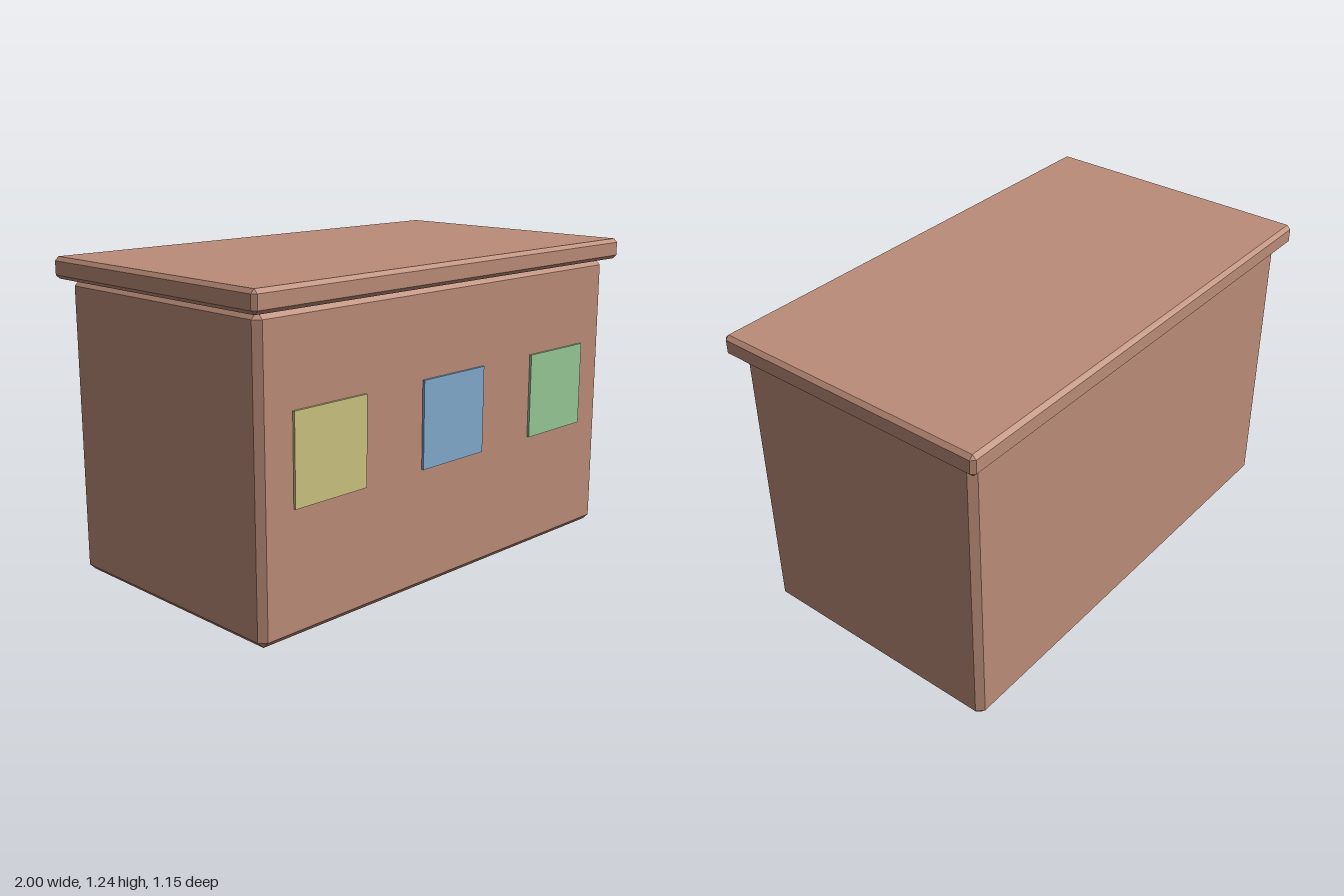
import * as THREE from 'three';
import { ConvexGeometry } from 'three/addons/geometries/ConvexGeometry.js';

// Box with flat chamfers on all edges: hull of the corners of its six inset faces
function chamferBox(w, h, d, c) {
  const points = [];
  for (const sx of [-1, 1]) for (const sy of [-1, 1]) for (const sz of [-1, 1]) {
    const x = w / 2, y = h / 2, z = d / 2;
    points.push(
      new THREE.Vector3(sx * x, sy * (y - c), sz * (z - c)),
      new THREE.Vector3(sx * (x - c), sy * y, sz * (z - c)),
      new THREE.Vector3(sx * (x - c), sy * (y - c), sz * z)
    );
  }
  return new ConvexGeometry(points);
}

function material(name, color) {
  const m = new THREE.MeshStandardMaterial({ color });
  m.name = name;
  return m;
}

export function createModel() {
  const model = new THREE.Group();
  model.name = 'chest';
  const clay = material('clay brown', 0xbc8c78);

  const add = (name, geometry, mat, x, y, z) => {
    const mesh = new THREE.Mesh(geometry, mat);
    mesh.name = name;
    mesh.position.set(x, y, z);
    model.add(mesh);
  };

  // Body and overhanging lid
  add('body', chamferBox(1.91, 1.152, 1.062, 0.025), clay, 0, 0.576, 0);
  add('lid', chamferBox(2, 0.083, 1.148, 0.015), clay, 0, 1.1935, 0);

  // Three coloured panels on the front
  const panels = [
    ['rightPanel', material('soft yellow', 0xcac27e), -0.637],
    ['middlePanel', material('soft blue', 0x82aacc), 0],
    ['leftPanel', material('soft green', 0x96c896), 0.637],
  ];
  const panelGeometry = new THREE.BoxGeometry(0.34, 0.34, 0.0095);
  for (const [name, mat, x] of panels) add(name, panelGeometry, mat, x, 0.64, 0.5357);

  return model;
}
